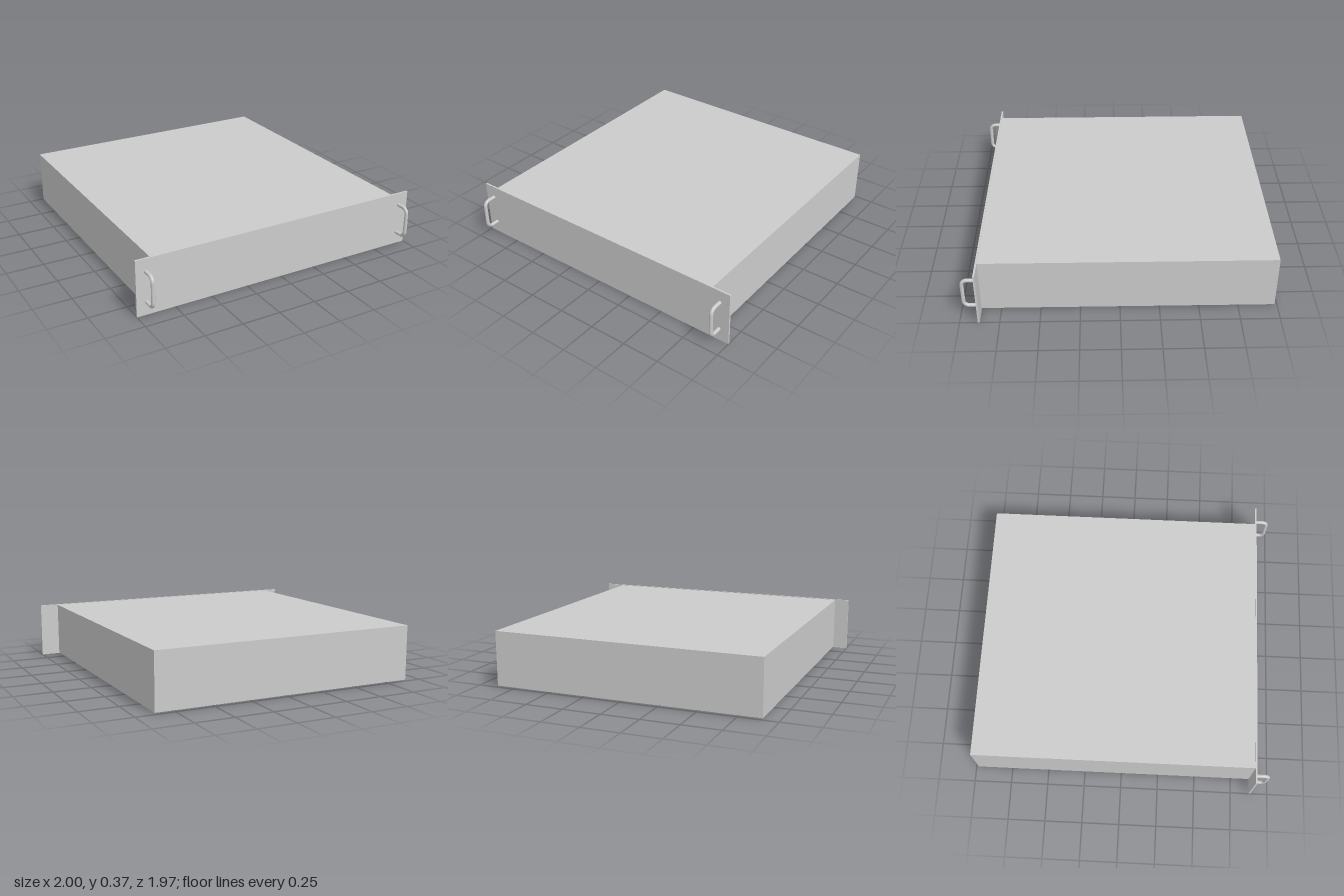
import * as THREE from 'three';

const material = new THREE.MeshStandardMaterial({ color: 0xcccccc });

// Box given by its minimum and maximum corners
function box(name, min, max) {
  const size = max.map((v, i) => v - min[i]);
  const mesh = new THREE.Mesh(new THREE.BoxGeometry(...size), material);
  mesh.position.set(...max.map((v, i) => (v + min[i]) / 2));
  mesh.name = name;
  return mesh;
}

// U-shaped rod with rounded corners in the YZ plane
function handleGeometry() {
  const bottom = 0.085, top = 0.285, back = 0.88, front = 0.972, r = 0.036, k = r * 0.448;
  const p = (y, z) => new THREE.Vector3(0, y, z);
  const path = new THREE.CurvePath();
  path.add(new THREE.LineCurve3(p(bottom, back), p(bottom, front - r)));
  path.add(new THREE.CubicBezierCurve3(
    p(bottom, front - r), p(bottom, front - k), p(bottom + k, front), p(bottom + r, front)));
  path.add(new THREE.LineCurve3(p(bottom + r, front), p(top - r, front)));
  path.add(new THREE.CubicBezierCurve3(
    p(top - r, front), p(top - k, front), p(top, front - k), p(top, front - r)));
  path.add(new THREE.LineCurve3(p(top, front - r), p(top, back)));
  return new THREE.TubeGeometry(path, 64, 0.012, 16, false);
}

export function createModel() {
  const model = new THREE.Group();
  model.name = 'rackEnclosure';

  // Chassis, slightly off centre behind the front panel
  model.add(box('chassis', [-0.9, 0.005, -0.984], [0.873, 0.366, 0.876]));

  // Wide front panel whose ends form the mounting ears
  model.add(box('frontPanel', [-1, 0, 0.875], [1, 0.369, 0.887]));

  // Pull handles at both ends of the panel
  const geometry = handleGeometry();
  for (const [name, x] of [['rightHandle', -0.933], ['leftHandle', 0.931]]) {
    const handle = new THREE.Mesh(geometry, material);
    handle.position.x = x;
    handle.name = name;
    model.add(handle);
  }
  return model;
}
